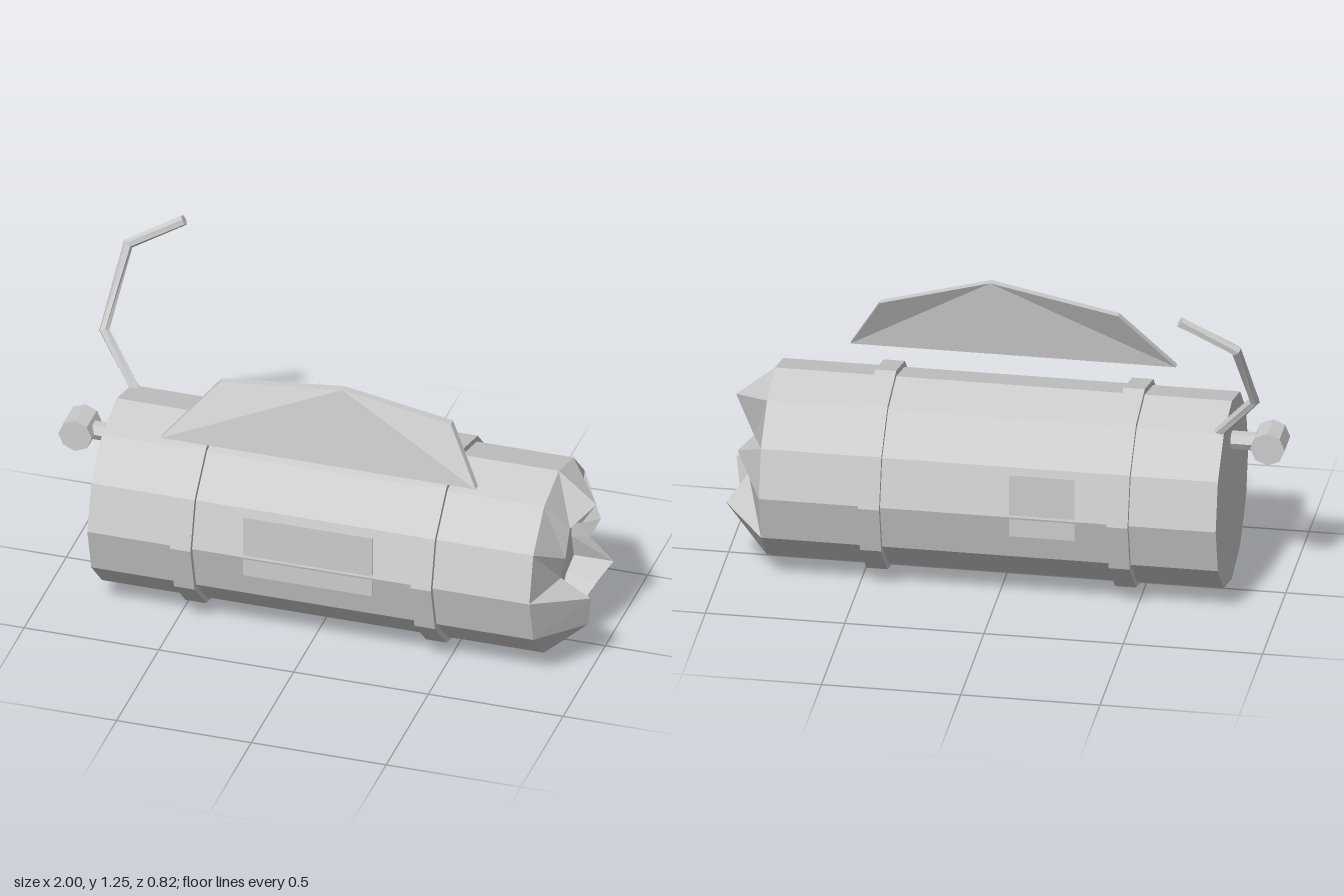
import * as THREE from 'three';

const grey = new THREE.MeshStandardMaterial({ color: 0xcccccc, flatShading: true });
grey.name = 'grey metal';
const AXIS_Y = 0.37, AXIS_Z = 0.04, SIDES = 12;

function add(parent, name, geometry) {
  const mesh = new THREE.Mesh(geometry, grey);
  mesh.name = name;
  parent.add(mesh);
  return mesh;
}

// Cylinder lying along x on the barrel axis
function drum(x0, x1, radius, open) {
  return new THREE.CylinderGeometry(radius, radius, x1 - x0, SIDES, 1, open)
    .rotateZ(-Math.PI / 2).translate((x0 + x1) / 2, AXIS_Y, AXIS_Z);
}

function fromTriangles(tris) {
  const g = new THREE.BufferGeometry();
  g.setAttribute('position', new THREE.Float32BufferAttribute(tris.flat(2), 3));
  g.computeVertexNormals();
  return g;
}

// Torn end: shoulder, jagged lip, inner wall and floor.
// Lip corners are [radius, x], starting at the top and turning towards +z.
function tornEnd() {
  const lip = [[0.235, 0.98], [0.217, 0.915], [0.187, 0.915], [0.145, 0.893],
    [0.15, 1.0], [0.224, 0.985], [0.216, 0.91], [0.15, 0.96],
    [0.208, 0.987], [0.15, 0.91], [0.17, 0.95], [0.125, 0.905]];
  const at = (i, r, x) => {
    const a = i * Math.PI * 2 / SIDES;
    return [x, AXIS_Y + r * Math.cos(a), AXIS_Z + r * Math.sin(a)];
  };
  const rings = [
    lip.map((p, i) => at(i, 0.35, 0.84)),
    lip.map(([r, x], i) => at(i, r, x)),
    lip.map(([r], i) => at(i, r * 0.9, 0.845)),
  ];
  const tris = [], centre = [0.845, AXIS_Y, AXIS_Z];
  for (let i = 0; i < SIDES; i++) {
    const j = (i + 1) % SIDES;
    for (let k = 0; k < 2; k++) {
      const a = rings[k], b = rings[k + 1];
      tris.push([a[i], a[j], b[j]], [a[i], b[j], b[i]]);
    }
    tris.push([rings[2][i], rings[2][j], centre]);
  }
  return fromTriangles(tris);
}

// Folded five-cornered fin with a constant thickness
function fin() {
  const front = [[-0.565, 0.735, 0.272], [0.604, 0.735, 0.272], [0.487, 0.94, 0.195],
    [0.096, 1.032, 0.232], [-0.37, 0.957, 0.195]];
  const back = front.map(([x, y, z]) => [x, y, z - 0.028]);
  const tris = [];
  for (const [a, b, c] of [[0, 1, 3], [1, 2, 3], [0, 3, 4]]) {
    tris.push([front[a], front[b], front[c]], [back[a], back[c], back[b]]);
  }
  front.forEach((p, i) => {
    const j = (i + 1) % front.length;
    tris.push([p, back[i], back[j]], [p, back[j], front[j]]);
  });
  return fromTriangles(tris);
}

// Bent rod with mitred corners, built from hexagonal cross-sections
function bentRod(points, radius) {
  const p = points.map(q => new THREE.Vector3(...q)), n = p.length, tris = [];
  const dirs = p.slice(1).map((q, i) => q.clone().sub(p[i]).normalize());
  const rings = p.map((q, i) => {
    const d = dirs[Math.max(i - 1, 0)].clone().add(dirs[Math.min(i, n - 2)]).normalize();
    const u = new THREE.Vector3(0, 0, 1).cross(d).normalize();
    const v = d.clone().cross(u);
    return Array.from({ length: 6 }, (_, k) => {
      const a = k * Math.PI / 3;
      return q.clone().addScaledVector(u, radius * Math.cos(a))
        .addScaledVector(v, radius * Math.sin(a)).toArray();
    });
  });
  for (let k = 0; k < 6; k++) {
    const m = (k + 1) % 6;
    for (let i = 0; i < n - 1; i++) {
      const a = rings[i], b = rings[i + 1];
      tris.push([a[k], a[m], b[m]], [a[k], b[m], b[k]]);
    }
    tris.push([points[0], rings[0][m], rings[0][k]]);
    tris.push([points[n - 1], rings[n - 1][k], rings[n - 1][m]]);
  }
  return fromTriangles(tris);
}

export function createModel() {
  const model = new THREE.Group();
  model.name = 'tornCanister';

  // Barrel, closed at its right end only
  add(model, 'barrel', drum(-0.8, 0.84, 0.35, true));
  add(model, 'barrelCap', new THREE.CircleGeometry(0.35, SIDES)
    .rotateY(-Math.PI / 2).translate(-0.8, AXIS_Y, AXIS_Z));
  add(model, 'tornEnd', tornEnd());

  // Raised bands
  for (const x of [-0.449, 0.443]) add(model, 'band', drum(x - 0.038, x + 0.038, 0.371, false));

  // Thin plates on the front and back
  add(model, 'frontPlate', new THREE.BoxGeometry(0.48, 0.24, 0.004).translate(0.018, 0.415, 0.386));
  add(model, 'backPlate', new THREE.BoxGeometry(0.235, 0.24, 0.004).translate(-0.175, 0.415, -0.306));

  add(model, 'fin', fin());

  // Knob on a short stem
  add(model, 'stem', new THREE.CylinderGeometry(0.033, 0.033, 0.13, 6)
    .rotateZ(Math.PI / 2).translate(-0.855, 0.57, 0.035));
  add(model, 'knob', new THREE.CylinderGeometry(0.062, 0.062, 0.12, 8)
    .rotateX(Math.PI / 2).translate(-0.938, 0.57, 0.035));

  add(model, 'bentRod', bentRod([[-0.78, 0.67, -0.115], [-0.92, 0.845, -0.195],
    [-0.882, 1.115, -0.355], [-0.685, 1.23, -0.39]], 0.02));

  return model;
}
